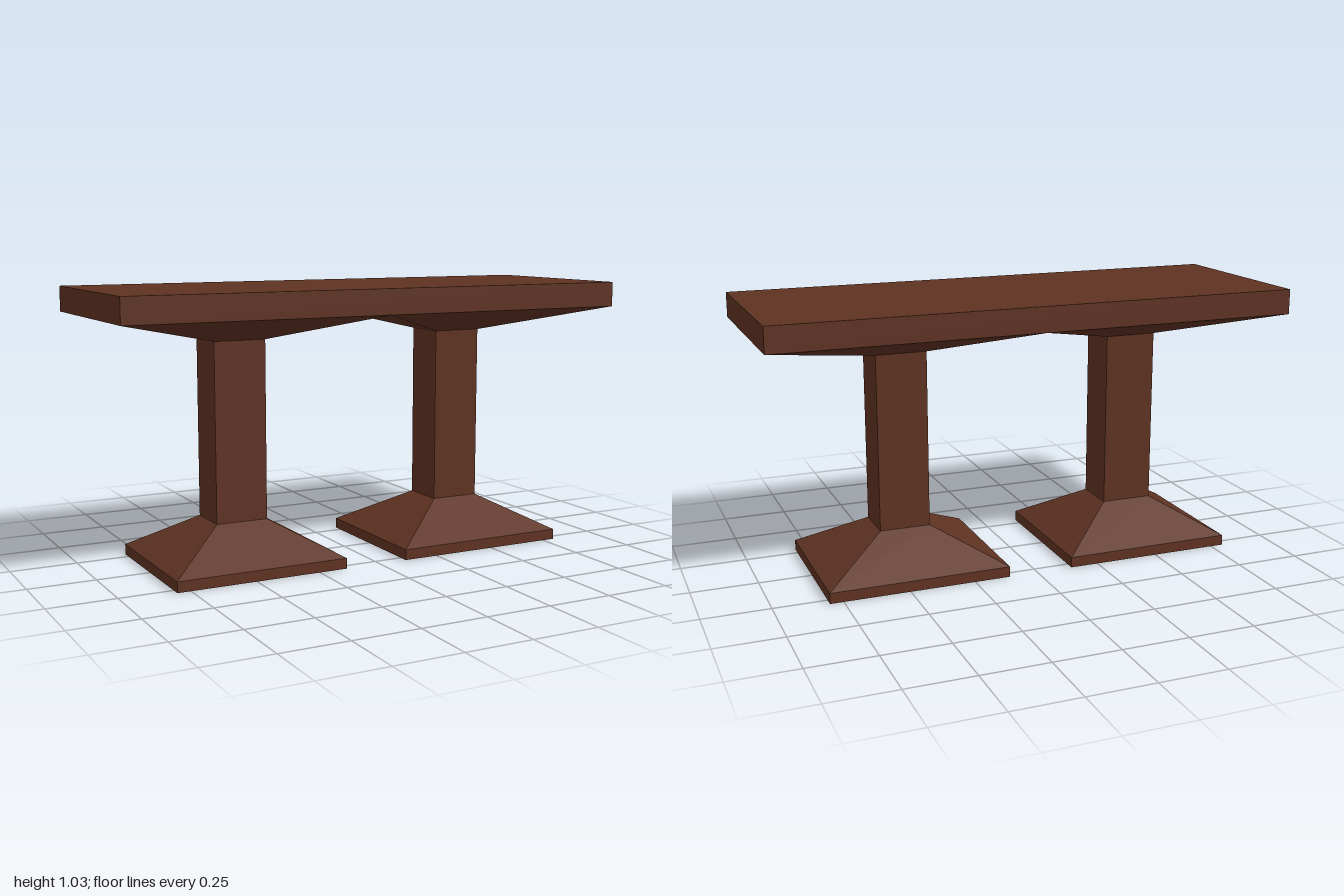
import * as THREE from 'three';

const wood = new THREE.MeshStandardMaterial({ color: 0x5e3222, flatShading: true });

// Closed solid lofted through level rectangles [y, x0, x1, halfDepth], bottom to top
function loft(name, rings) {
  const corners = rings.map(([y, x0, x1, d]) => [[x0, y, d], [x1, y, d], [x1, y, -d], [x0, y, -d]]);
  const pos = [];
  const quad = (a, b, c, d) => pos.push(...a, ...b, ...c, ...a, ...c, ...d);
  for (let i = 0; i < corners.length - 1; i++) {
    const lo = corners[i], hi = corners[i + 1];
    for (let k = 0; k < 4; k++) {
      const n = (k + 1) % 4;
      quad(lo[k], lo[n], hi[n], hi[k]);
    }
  }
  const [a, b, c, d] = corners[0];
  quad(d, c, b, a);
  quad(...corners[corners.length - 1]);
  const geo = new THREE.BufferGeometry();
  geo.setAttribute('position', new THREE.Float32BufferAttribute(pos, 3));
  geo.computeVertexNormals();
  const mesh = new THREE.Mesh(geo, wood);
  mesh.name = name;
  return mesh;
}

export function createModel() {
  const table = new THREE.Group();
  table.name = 'table';

  // Slab top
  const top = new THREE.Mesh(new THREE.BoxGeometry(2, 0.095, 0.726), wood);
  top.name = 'tableTop';
  top.position.y = 0.9825;
  table.add(top);

  // Two pedestals: outer and post extents along x, slightly uneven
  const pedestals = [
    { name: 'rightPedestal', half: [-1, 0], post: [-0.57, -0.37], foot: [-0.8, -0.14] },
    { name: 'leftPedestal', half: [0, 1], post: [0.36, 0.553], foot: [0.112, 0.8] },
  ];
  for (const { name, half, post, foot } of pedestals) {
    const g = new THREE.Group();
    g.name = name;
    // Plinth with sloping shoulders
    g.add(loft('foot', [[0, ...foot, 0.287], [0.04, ...foot, 0.287], [0.172, ...post, 0.086]]));
    // Square post
    g.add(loft('post', [[0.172, ...post, 0.086], [0.842, ...post, 0.086]]));
    // Shallow inverted pyramid under the slab
    g.add(loft('flaredSupport', [[0.842, ...post, 0.086], [0.935, ...half, 0.363]]));
    table.add(g);
  }
  return table;
}
